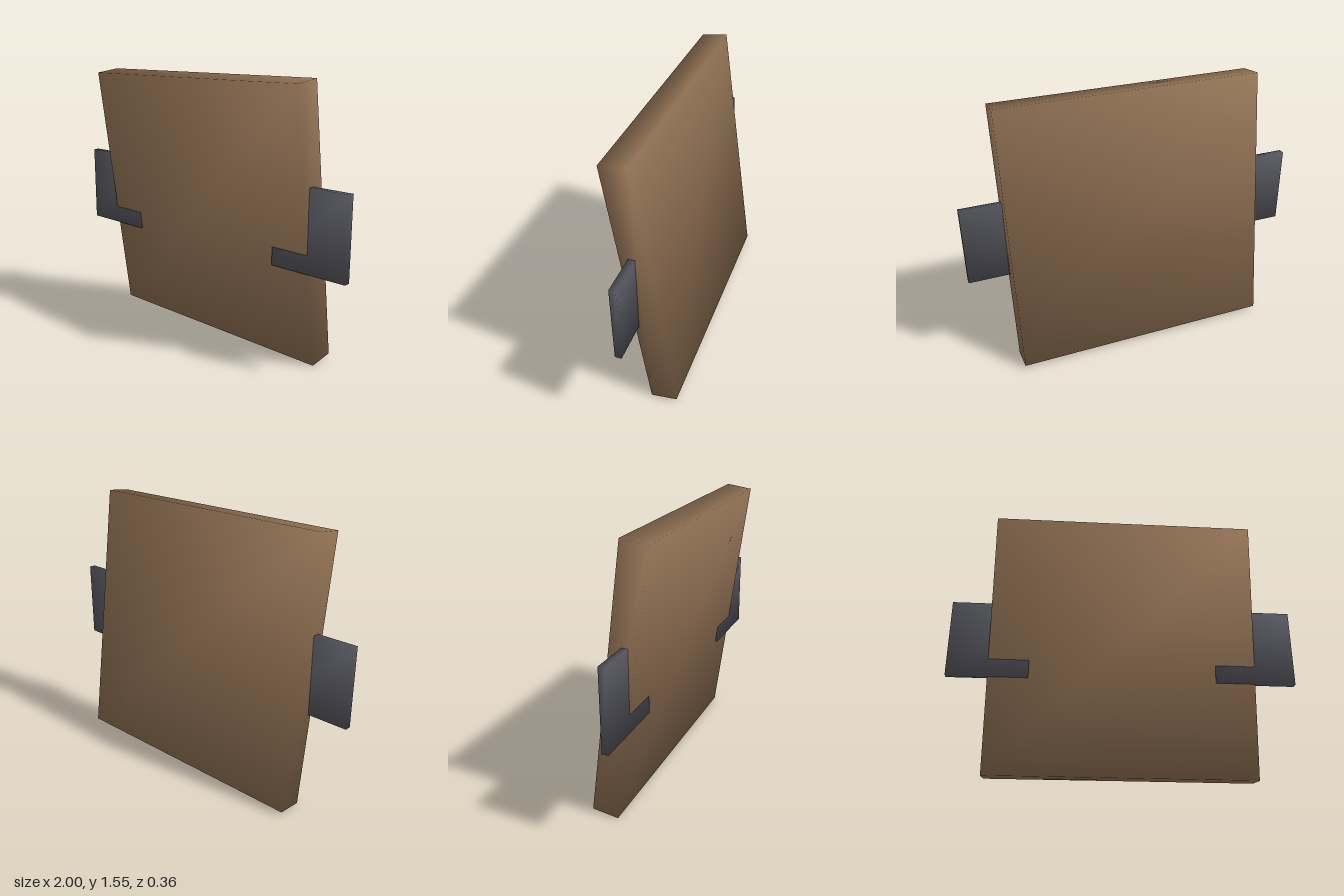
import * as THREE from 'three';
import { mergeVertices } from 'three/addons/utils/BufferGeometryUtils.js';

// Box with shared corners, so the shading runs softly round its edges
function softBox(w, h, d) {
  const box = new THREE.BoxGeometry(w, h, d);
  box.deleteAttribute('normal');
  box.deleteAttribute('uv');
  const geo = mergeVertices(box);
  const p = geo.attributes.position;
  const normals = [];
  const n = new THREE.Vector3();
  for (let i = 0; i < p.count; i++) {
    n.set(Math.sign(p.getX(i)), Math.sign(p.getY(i)), Math.sign(p.getZ(i))).normalize();
    normals.push(n.x, n.y, n.z);
  }
  geo.setAttribute('normal', new THREE.Float32BufferAttribute(normals, 3));
  return geo;
}

export function createModel() {
  const group = new THREE.Group();
  const brown = new THREE.MeshStandardMaterial({ name: 'brown', color: 0x8f7053 });
  const darkGrey = new THREE.MeshStandardMaterial({ name: 'darkGrey', color: 0x54545d });

  // Square panel leaning forward
  const panel = new THREE.Mesh(softBox(1.535, 1.54, 0.152), brown);
  panel.name = 'panel';
  panel.position.set(0, 0.773, 0);
  panel.rotation.x = 0.137;
  group.add(panel);

  // Upright side plates, sunk partly into the panel
  for (const side of [-1, 1]) {
    const plate = new THREE.Mesh(softBox(0.463, 0.46, 0.037), darkGrey);
    plate.name = side > 0 ? 'leftSidePlate' : 'rightSidePlate';
    plate.position.set(side * 0.7685, 0.775, 0.041);
    group.add(plate);
  }
  return group;
}
